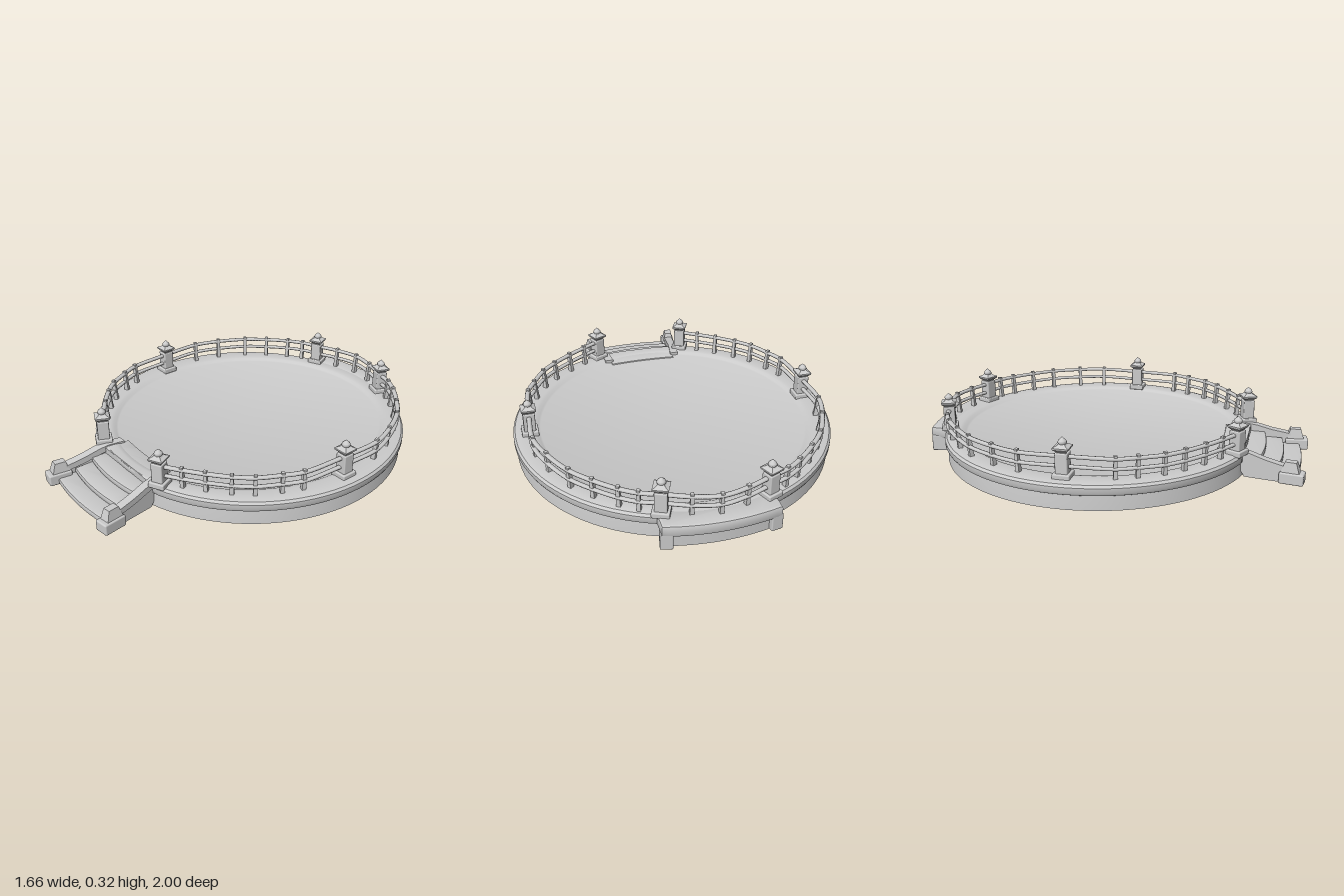
import * as THREE from 'three';
import { toCreasedNormals } from 'three/addons/utils/BufferGeometryUtils.js';
import { RoundedBoxGeometry } from 'three/addons/geometries/RoundedBoxGeometry.js';

const CZ = -0.1; // centre of the round platform
const mat = new THREE.MeshStandardMaterial({ color: 0xcccccc, side: THREE.DoubleSide });

function add(parent, name, geo, x = 0, y = 0, z = 0) {
  const m = new THREE.Mesh(geo, mat);
  m.name = name;
  m.position.set(x, y, z);
  parent.add(m);
  return m;
}

function warp(geo, fn) {
  const p = geo.attributes.position;
  const v = new THREE.Vector3();
  for (let i = 0; i < p.count; i++) {
    fn(v.fromBufferAttribute(p, i));
    p.setXYZ(i, v.x, v.y, v.z);
  }
  return geo;
}
const crease = (geo, a = 0.6) => toCreasedNormals(geo, a);

// Flat plan shape (x, z) raised from y0 to y1
function slab(shape, y0, y1, bevel = 0) {
  const geo = new THREE.ExtrudeGeometry(shape, {
    depth: y1 - y0 - 2 * bevel, curveSegments: 20,
    bevelEnabled: bevel > 0, bevelSize: bevel, bevelThickness: bevel, bevelOffset: -bevel, bevelSegments: 2,
  });
  geo.rotateX(-Math.PI / 2).translate(0, y0 + bevel, 0);
  return crease(geo);
}

function platform() {
  const profile = [
    [0, 0.116], [0.69, 0.116], [0.7, 0.119], [0.712, 0.127], [0.73, 0.13], [0.8, 0.13], [0.82, 0.125],
    [0.83, 0.113], [0.83, 0.088], [0.824, 0.076], [0.812, 0.07], [0.816, 0.03], [0.818, 0],
  ].map(([r, y]) => new THREE.Vector2(r, y)).reverse();
  const geo = new THREE.LatheGeometry(profile, 96);
  return crease(warp(geo, (v) => {
    if (Math.hypot(v.x, v.z) < 0.735) v.z *= 1.04; // inner border is slightly oval
    v.z = Math.min(v.z + CZ, 0.69); // flattened where the stairs meet it
  }));
}

// Bay outline at the back; shape y is -z
function bayShape(halfW, end, mid) {
  const s = new THREE.Shape();
  s.moveTo(halfW, 0.83);
  s.lineTo(halfW, end);
  s.quadraticCurveTo(0, 2 * mid - end, -halfW, end);
  s.lineTo(-halfW, 0.83);
  s.quadraticCurveTo(0, 0.96, halfW, 0.83);
  return s;
}

// Square post with a pagoda cap and finial
function post(x, z, turn) {
  const g = new THREE.Group();
  g.name = 'post';
  add(g, 'postBase', new RoundedBoxGeometry(0.085, 0.03, 0.085, 2, 0.006), 0, 0.137, 0);
  add(g, 'postShaft', new RoundedBoxGeometry(0.06, 0.11, 0.06, 2, 0.006), 0, 0.195, 0);
  const cap = [[0.03, 0.24], [0.034, 0.254], [0.052, 0.266], [0.054, 0.275], [0.03, 0.283], [0.02, 0.291]]
    .map(([r, y]) => new THREE.Vector2(r, y));
  add(g, 'postCap', crease(new THREE.LatheGeometry(cap, 4).rotateY(Math.PI / 4), 0.4));
  const tip = [[0.016, 0.285], [0.022, 0.295], [0.019, 0.304], [0.008, 0.314], [0, 0.322]]
    .map(([r, y]) => new THREE.Vector2(r, y));
  add(g, 'finial', new THREE.LatheGeometry(tip, 12));
  g.position.set(x, 0, z);
  g.rotation.y = turn;
  return g;
}

// Two rails and their balusters along a run of plan points
function railing(pts, name) {
  const g = new THREE.Group();
  g.name = name;
  const curve = new THREE.CatmullRomCurve3(pts.map(([x, z]) => new THREE.Vector3(x, 0, z)));
  for (const [y, r] of [[0.228, 0.013], [0.18, 0.012]]) {
    const geo = new THREE.TubeGeometry(curve, 48, r, 8).scale(1, 0.75, 1);
    add(g, 'rail', geo, 0, y, 0);
  }
  for (const [x, z] of pts.slice(1, -1)) {
    const geo = warp(new THREE.BoxGeometry(0.016, 0.125, 0.018), (v) => {
      if (v.y < 0) { v.x *= 1.3; v.z = v.z * 1.3 - 0.01; } // leans out, wider foot
    });
    add(g, 'baluster', geo, x, 0.182, z).rotation.y = Math.atan2(x, z - CZ);
  }
  return g;
}

function stairs() {
  const g = new THREE.Group();
  g.name = 'stairs';
  // Treads with bowed fronts
  for (let i = 0; i < 4; i++) {
    const front = 0.95 - i * 0.092, back = front - 0.12, w = 0.225 - i * 0.012;
    const s = new THREE.Shape();
    s.moveTo(-w, -front);
    s.quadraticCurveTo(0, -front - 0.04, w, -front);
    s.lineTo(w, -back);
    s.quadraticCurveTo(0, -back - 0.02, -w, -back);
    add(g, 'tread', slab(s, 0.002 + i * 0.03, 0.034 + i * 0.03, 0.008));
  }
  // Splayed side walls with sloping copings and end blocks
  const wall = [[0.66, 0.12], [0.72, 0.115], [0.9, 0.075], [0.9, 0], [0.7, 0], [0.66, 0.06]];
  const coping = [[0.585, 0.134], [0.67, 0.136], [0.72, 0.128], [0.8, 0.105], [0.9, 0.085],
    [0.9, 0.055], [0.8, 0.073], [0.7, 0.1], [0.585, 0.108]];
  const side = (pts, width, s) => {
    const shape = new THREE.Shape(pts.map(([z, y]) => new THREE.Vector2(z, y)));
    const geo = new THREE.ExtrudeGeometry(shape, { depth: width, bevelEnabled: false });
    geo.translate(0, 0, -width / 2).rotateY(-Math.PI / 2);
    return crease(warp(geo, (v) => { v.x += s * (0.2 + (v.z - 0.59) * 0.14); }));
  };
  for (const s of [1, -1]) {
    add(g, 'stairWall', side(wall, 0.034, s));
    add(g, 'stairCoping', side(coping, 0.046, s));
    const end = new THREE.Group();
    end.name = 'stairEnd';
    add(end, 'endBlock', new RoundedBoxGeometry(0.075, 0.058, 0.12, 2, 0.008), 0, 0.029, 0);
    const cap = warp(new THREE.BoxGeometry(0.056, 0.056, 0.092), (v) => {
      if (v.y > 0) { v.x *= 0.7; v.z *= 0.6; }
    });
    add(end, 'endCap', crease(cap, 0.3), 0, 0.082, -0.008);
    end.position.set(s * 0.25, 0, 0.932);
    end.rotation.y = s * 0.14;
    g.add(end);
  }
  return g;
}

export function createModel() {
  const model = new THREE.Group();
  model.name = 'roundTerrace';
  add(model, 'platform', platform());

  // Bay bulging from the back, with a pilaster at each end
  add(model, 'bayRim', slab(bayShape(0.28, 0.965, 1.0), 0.07, 0.13, 0.012));
  add(model, 'bayWall', slab(bayShape(0.25, 0.945, 0.975), 0, 0.08));
  for (const s of [1, -1]) {
    add(model, 'pilaster', new RoundedBoxGeometry(0.06, 0.085, 0.09, 2, 0.006), s * 0.25, 0.0425, -0.925)
      .rotation.y = s * -0.2;
  }

  // Posts and railings, mirrored left and right
  const frontRun = [[0.255, 0.66], [0.35, 0.6], [0.444, 0.534], [0.54, 0.455], [0.614, 0.376],
    [0.677, 0.265], [0.72, 0.17], [0.743, -0.07]];
  const backRun = [[0.743, -0.07], [0.746, -0.29], [0.7, -0.434], [0.62, -0.586], [0.53, -0.688],
    [0.43, -0.778], [0.35, -0.83], [0.255, -0.865]];
  for (const s of [1, -1]) {
    const flip = (run) => run.map(([x, z]) => [s * x, z]);
    model.add(railing(flip(frontRun), 'frontRailing'), railing(flip(backRun), 'sideRailing'));
    model.add(post(s * 0.255, 0.66, s * 0.45), post(s * 0.743, -0.07, 0), post(s * 0.255, -0.865, s * -0.4));
  }
  model.add(railing([[-0.255, -0.865], [-0.13, -0.915], [0, -0.942], [0.13, -0.915], [0.255, -0.865]], 'backRailing'));

  model.add(stairs());
  return model;
}
